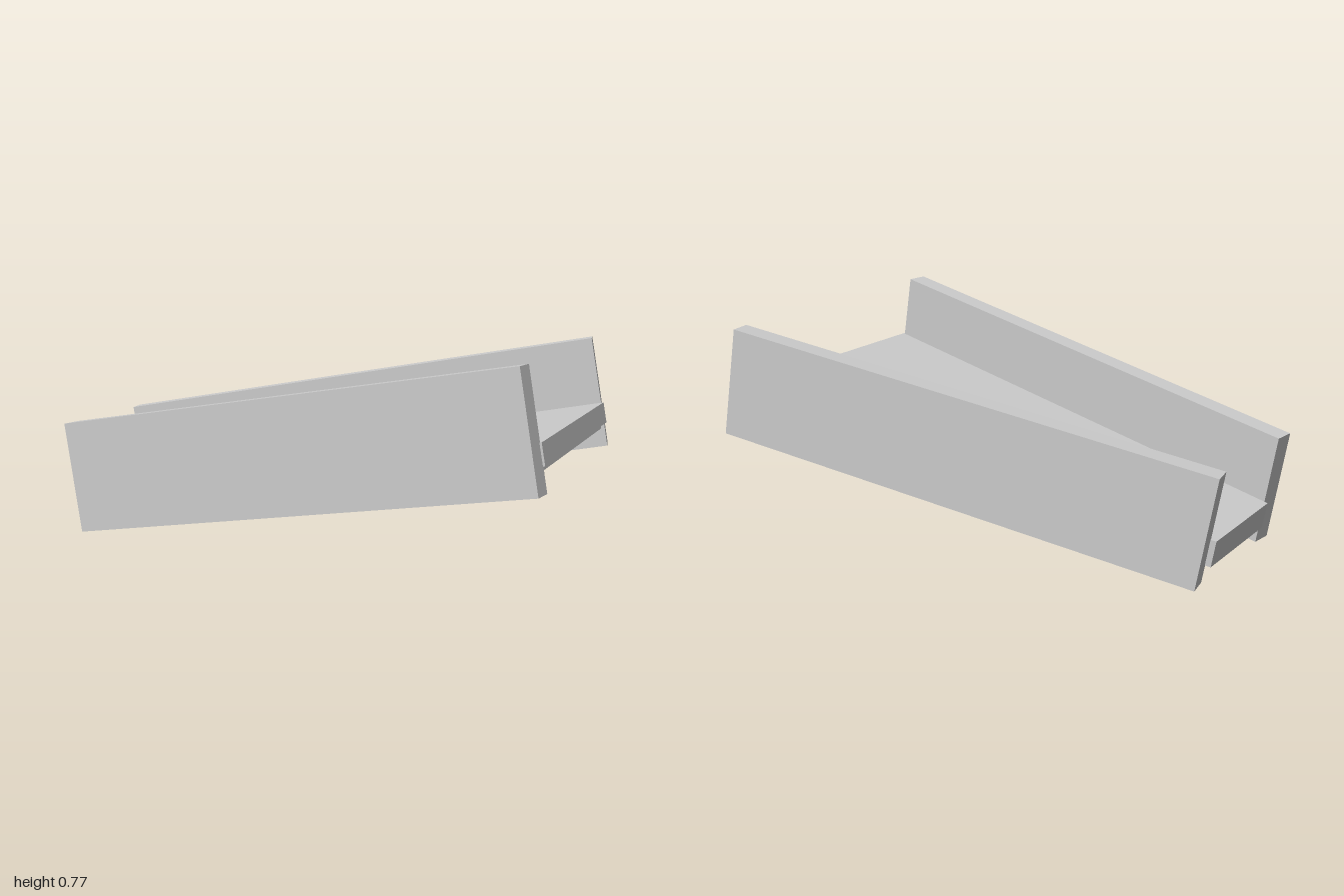
import * as THREE from 'three';

const material = new THREE.MeshStandardMaterial({ color: 0xcccccc, flatShading: true });
const TILT = 0.1737;

// Slanted box spanned from one corner by length, up and thickness vectors
function slantedBox(name, corner, length, up, thick) {
  const v = (a) => new THREE.Vector3(...a);
  const geometry = new THREE.BoxGeometry(1, 1, 1).translate(0.5, 0.5, 0.5);
  const m = new THREE.Matrix4().makeBasis(v(length), v(up), v(thick)).setPosition(v(corner));
  geometry.applyMatrix4(m);
  const mesh = new THREE.Mesh(geometry, material);
  mesh.name = name;
  return mesh;
}

// Tapered board lying in the sloped plane, from the narrow low end to the wide high end
function deckBoard(name, highEnd, bottom, thickness) {
  const low = -0.915, full = 1.049;
  const t = (highEnd - low) / (full - low);
  const front = THREE.MathUtils.lerp(0.25, 0.537, t);
  const back = THREE.MathUtils.lerp(-0.2, -0.533, t);
  // shape y becomes -z once laid flat
  const shape = new THREE.Shape([
    new THREE.Vector2(low, -0.25),
    new THREE.Vector2(highEnd, -front),
    new THREE.Vector2(highEnd, -back),
    new THREE.Vector2(low + 0.008 - 0.012, 0.2),
  ]);
  const geometry = new THREE.ExtrudeGeometry(shape, { depth: thickness, bevelEnabled: false });
  geometry.rotateX(-Math.PI / 2).translate(0, bottom, 0).rotateZ(TILT);
  const mesh = new THREE.Mesh(geometry, material);
  mesh.name = name;
  return mesh;
}

export function createModel() {
  const model = new THREE.Group();
  model.name = 'ramp';

  // Side walls, splayed apart toward the high end
  model.add(slantedBox('frontWall', [-0.915, 0.003, 0.257], [1.913, 0.335, 0.277], [-0.075, 0.431, -0.011], [-0.01, 0, 0.083]));
  model.add(slantedBox('backWall', [-0.925, 0.003, -0.283], [1.907, 0.334, -0.331], [-0.075, 0.431, 0.005], [0.014, 0, 0.083]));

  // Two-layer sloping floor, the lower layer set back at the high end
  model.add(deckBoard('upperFloor', 1.049, 0.2535, 0.0815));
  model.add(deckBoard('lowerFloor', 1.025, 0.232, 0.0215));

  return model;
}
